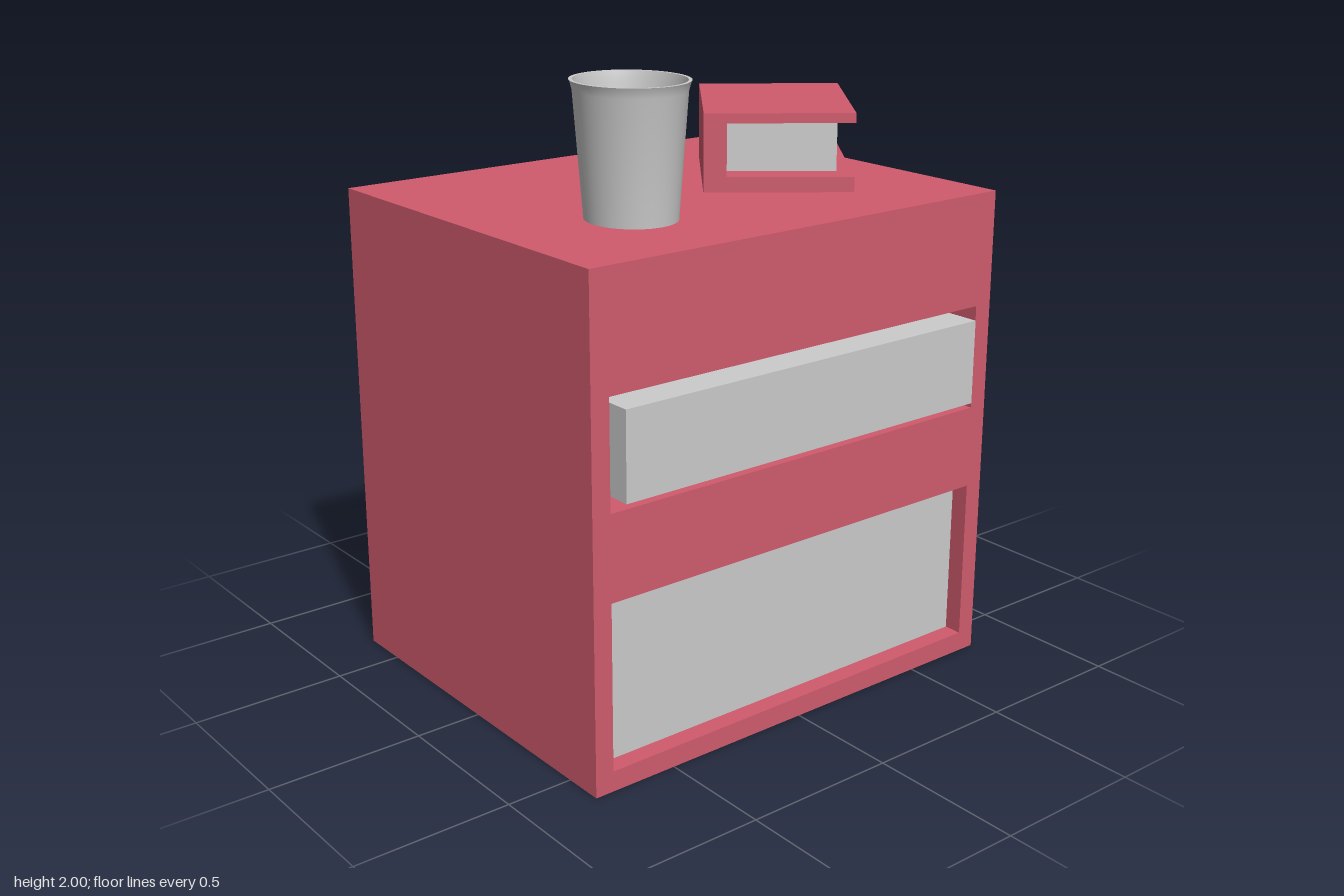
import * as THREE from 'three';
import { toCreasedNormals } from 'three/addons/utils/BufferGeometryUtils.js';

const red = new THREE.MeshStandardMaterial({ color: 0xd05b6d });
const grey = new THREE.MeshStandardMaterial({ color: 0xcccccc });

// Box given by its minimum and maximum corners
function box(name, material, [x0, y0, z0], [x1, y1, z1]) {
  const mesh = new THREE.Mesh(new THREE.BoxGeometry(x1 - x0, y1 - y0, z1 - z0), material);
  mesh.position.set((x0 + x1) / 2, (y0 + y1) / 2, (z0 + z1) / 2);
  mesh.name = name;
  return mesh;
}

// Rectangle outline for a shape or a hole
function rect(PathType, x0, y0, x1, y1) {
  return new PathType([[x0, y0], [x1, y0], [x1, y1], [x0, y1]].map(p => new THREE.Vector2(...p)));
}

function createCabinet() {
  const cabinet = new THREE.Group();
  cabinet.name = 'cabinet';

  // Carcass with two drawer openings, closed by a back panel
  const outline = rect(THREE.Shape, -0.785, 0, 0.785, 1.57);
  outline.holes.push(
    rect(THREE.Path, -0.723, 0.065, 0.723, 0.595),
    rect(THREE.Path, -0.723, 0.865, 0.723, 1.205),
  );
  const carcass = new THREE.Mesh(
    new THREE.ExtrudeGeometry(outline, { depth: 1.23, bevelEnabled: false }), red);
  carcass.position.z = -0.6;
  carcass.name = 'carcass';

  cabinet.add(
    carcass,
    box('backPanel', red, [-0.785, 0, -0.66], [0.785, 1.57, -0.6]),
    box('upperDrawer', grey, [-0.69, 0.895, -0.55], [0.69, 1.17, 0.66]),
    box('lowerDrawer', grey, [-0.723, 0.065, -0.55], [0.723, 0.56, 0.57]),
  );
  return cabinet;
}

// Book lying flat, spine along local -x
function createBook() {
  const book = new THREE.Group();
  book.name = 'book';
  const w = 0.228, l = 0.292;
  book.add(
    box('bottomCover', red, [-w, 0, -l], [w, 0.047, l]),
    box('topCover', red, [-w, 0.21, -l], [w, 0.24, l]),
    box('spine', red, [-w, 0.047, -l], [-0.158, 0.21, l]),
    box('pages', grey, [-0.158, 0.06, -0.288], [0.175, 0.21, 0.264]),
  );
  book.position.set(0.305, 1.605, 0.12);
  book.rotation.y = -0.661;
  return book;
}

// Tapered cup with a flared rim, slightly oval
function createCup() {
  const profile = [
    [0, 0], [0.132, 0], [0.158, 0.365], [0.163, 0.385], [0.167, 0.395],
    [0.157, 0.395], [0.151, 0.365], [0.128, 0.02], [0, 0.02],
  ].map(p => new THREE.Vector2(...p));
  const cup = new THREE.Mesh(toCreasedNormals(new THREE.LatheGeometry(profile, 48), 0.6), grey);
  cup.name = 'cup';
  cup.position.set(-0.433, 1.605, 0.35);
  cup.scale.z = 1.09;
  return cup;
}

export function createModel() {
  const model = new THREE.Group();
  model.name = 'nightstand';
  model.add(createCabinet(), createBook(), createCup());
  return model;
}
